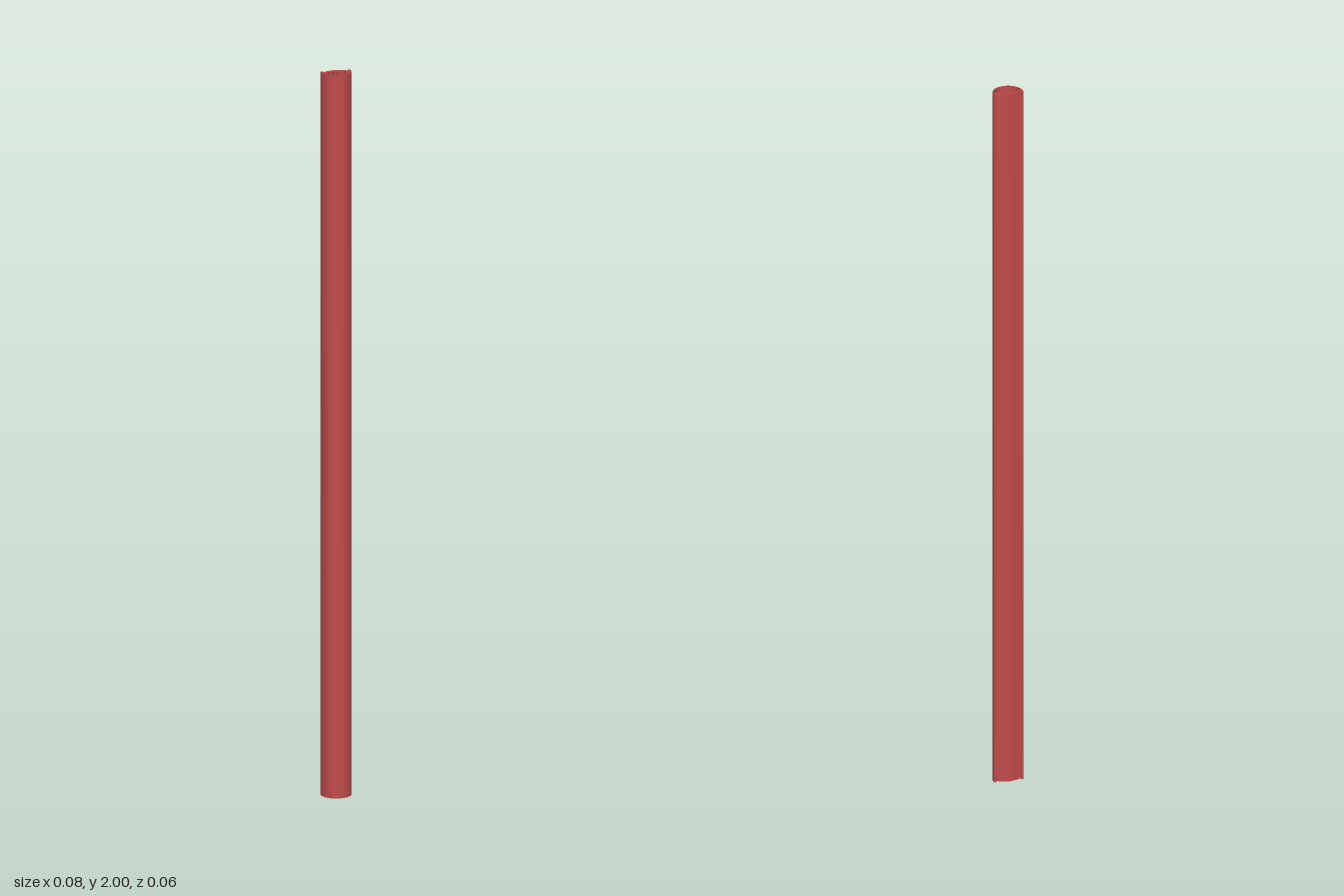
import * as THREE from 'three';
import { toCreasedNormals } from 'three/addons/utils/BufferGeometryUtils.js';

const LENGTH = 2;
const CENTRE = 0.0135; // height of the bow's centre in the section
const v = (x, y) => new THREE.Vector2(x, y);

// Points on an arc, angles in degrees
function arc(cx, cy, r, from, to, steps) {
  return Array.from({ length: steps + 1 }, (_, i) => {
    const a = THREE.MathUtils.degToRad(from + ((to - from) * i) / steps);
    return v(cx + r * Math.cos(a), cy + r * Math.sin(a));
  });
}

// Closes a half contour, which starts and ends on x = 0, with its mirror image
function mirrored(half) {
  return [...half, ...half.slice(1, -1).reverse().map((p) => v(-p.x, p.y))];
}

export function createModel() {
  // Outside: round bow, curled lip, flange channel, sloping roof
  const outer = mirrored([
    ...arc(0, CENTRE, 0.041, -90, 0, 24),
    ...arc(0.037, 0.0195, 0.004, 0, 180, 10),
    ...arc(0.037, 0.0195, 0.002, 180, 0, 8),
    v(0.039, 0.0155), v(0.028, 0.0155), v(0.0265, 0.0175),
    v(0.0295, 0.0185), v(0.029, 0.0203), v(0.002, 0.0282), v(0, 0.0285),
  ]);

  // Inside: bow wall, flange underside, gripping teeth, open screw port
  const inner = mirrored([
    ...arc(0, CENTRE, 0.0387, -90, -3, 24),
    v(0.025, 0.0115), v(0.0242, 0.0168),
    v(0.0205, 0.018), v(0.0198, 0.0145), v(0.0178, 0.015), v(0.0175, 0.0188),
    v(0.0145, 0.0197), v(0.014, 0.0165), v(0.012, 0.017), v(0.0115, 0.0205),
    v(0.0085, 0.021), v(0.0075, 0.0155), v(0.005, 0.0135),
    ...arc(0, 0.0195, 0.0045, -45, 90, 10),
  ]);

  const section = new THREE.Shape(outer);
  section.holes.push(new THREE.Path(inner));
  const geometry = new THREE.ExtrudeGeometry(section, { depth: LENGTH, bevelEnabled: false });
  geometry.rotateX(-Math.PI / 2); // stand the bar upright, bow to the front

  const profile = new THREE.Mesh(
    toCreasedNormals(geometry, Math.PI / 6),
    new THREE.MeshStandardMaterial({ color: 0xc04a4a }),
  );
  profile.name = 'extrudedProfile';

  const model = new THREE.Group();
  model.name = 'profileBar';
  model.add(profile);
  return model;
}
